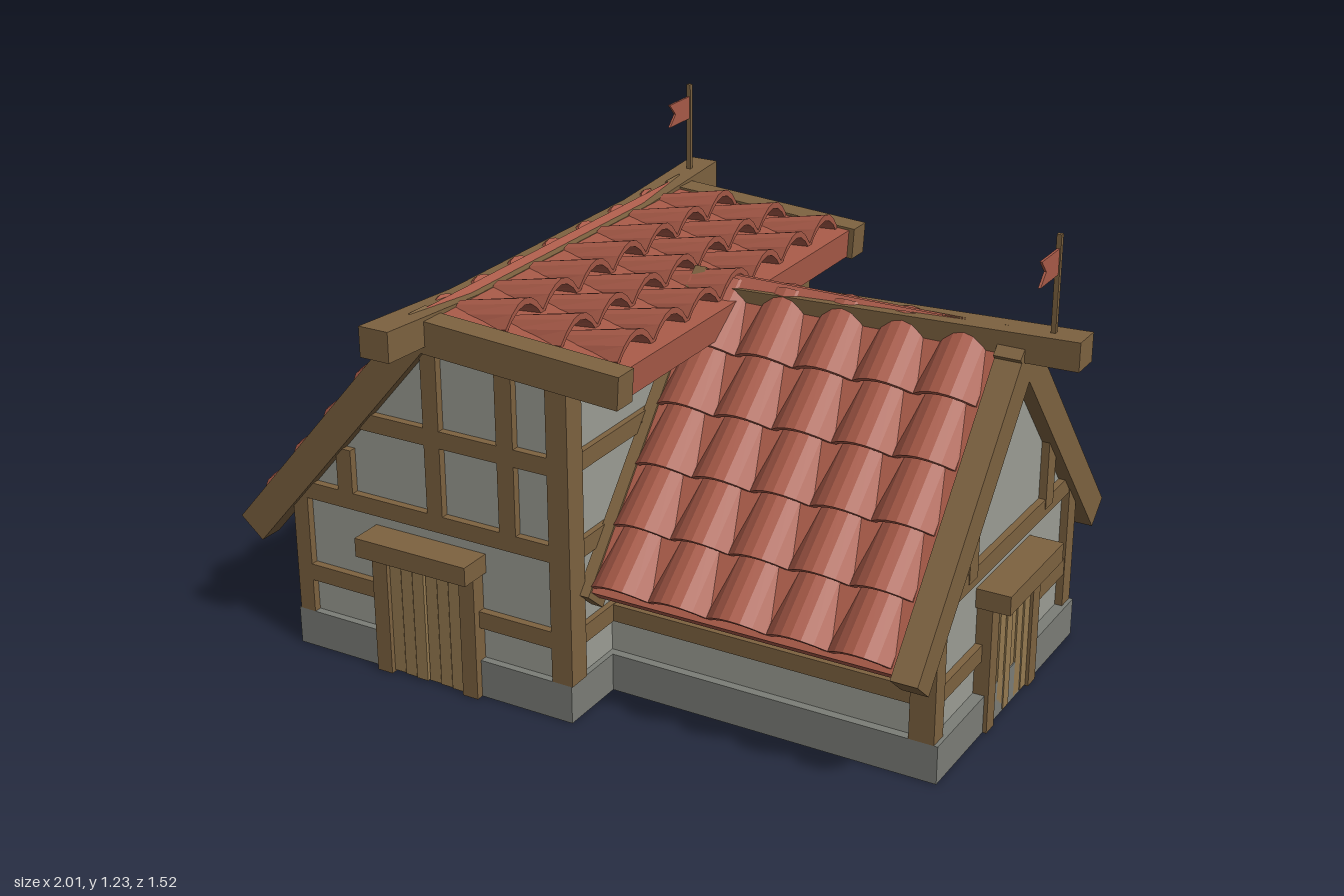
import * as THREE from 'three';

const paint = (color) => new THREE.MeshStandardMaterial({ color, flatShading: true });
const WOOD = paint(0x7d6240), PLANK = paint(0x967a50), TILE = paint(0xa85a48);
const PLASTER = paint(0x9b9d94), STONE = paint(0x7b7d77);

const RIDGE = 0.985;          // height of both ridges
const STEEP = 0.86;           // pitch of the main slopes
const HALF_X = -0.43;         // ridge position of the cross wing

function add(parent, name, geometry, material) {
  const mesh = new THREE.Mesh(geometry, material);
  mesh.name = name;
  parent.add(mesh);
  return mesh;
}

// Box given by its limits on each axis
function bar(parent, name, material, x0, x1, y0, y1, z0, z1) {
  const mesh = add(parent, name, new THREE.BoxGeometry(x1 - x0, y1 - y0, z1 - z0), material);
  mesh.position.set((x0 + x1) / 2, (y0 + y1) / 2, (z0 + z1) / 2);
  return mesh;
}

// Outline extruded along z, or along x when the outline is given as (z, y)
function prism(parent, name, material, points, from, to, alongX = false) {
  const shape = new THREE.Shape(points.map(([a, b]) => new THREE.Vector2(a, b)));
  const geometry = new THREE.ExtrudeGeometry(shape, { depth: to - from, bevelEnabled: false });
  geometry.translate(0, 0, alongX ? -to : from);
  if (alongX) geometry.rotateY(-Math.PI / 2);
  return add(parent, name, geometry, material);
}

// Arched tile running down +z: narrow and low at the top, wide and lifted at the bottom
function tileGeometry(width, height, length, taper, sink) {
  const outer = [], inner = [], thick = 0.017, n = 6;
  for (let i = 0; i <= n; i++) {
    const t = (i / n) * 2 - 1;
    const y = height * (1 - t * t);
    outer.push(new THREE.Vector2(t * width / 2, y));
    inner.unshift(new THREE.Vector2(t * width / 2, y - thick));
  }
  const geometry = new THREE.ExtrudeGeometry(new THREE.Shape([...inner, ...outer]),
    { depth: length, bevelEnabled: false });
  const p = geometry.attributes.position;
  for (let i = 0; i < p.count; i++) {
    const k = p.getZ(i) / length;
    p.setX(i, p.getX(i) * (taper + (1 - taper) * k));
    p.setY(i, p.getY(i) - sink * (1 - k));
  }
  geometry.computeVertexNormals();
  return geometry;
}

// One roof slope. Local axes: x along the ridge, y out of the roof, z down the slope
function slope(parent, name, o) {
  const roof = new THREE.Group();
  roof.name = name;
  roof.position.set(...o.at);
  roof.rotation.set(o.pitch, o.yaw, 0, 'YXZ');
  const f = o.flip ? -1 : 1;
  const span = (label, mat, [a, b], y0, y1, z0, z1) =>
    bar(roof, label, mat, Math.min(a * f, b * f), Math.max(a * f, b * f), y0, y1, z0, z1);
  span('roofBoard', TILE, o.board, -o.thick, -0.006, 0, o.length - 0.015);
  for (const b of o.beams) span('gableBeam', WOOD, b, -0.083, 0, 0, o.length);
  const geometry = tileGeometry(0.157, o.arch, o.pitchStep * 1.2, o.taper, o.sink);
  for (let r = 0; r < o.rows; r++) {
    for (let c = 0; c < o.columns; c++) {
      const tile = add(roof, 'roofTile', geometry, TILE);
      const end = o.lastEnd - (o.rows - 1 - r) * o.pitchStep;
      tile.position.set(f * (o.firstColumn + c * 0.157), 0, end - o.pitchStep * 1.2);
    }
  }
  parent.add(roof);
}

// Door facing +z with its sill at the origin
function door(parent, name, x, z, yaw) {
  const g = new THREE.Group();
  g.name = name;
  g.position.set(x, 0, z);
  g.rotation.y = yaw;
  for (const s of [-1, 1]) bar(g, 'doorPost', WOOD, s * 0.13 - 0.022, s * 0.13 + 0.022, 0, 0.34, -0.05, 0.02);
  for (let i = 0; i < 6; i++) {
    const px = -0.108 + i * 0.036;
    bar(g, 'doorPlank', PLANK, px, px + 0.033, 0.005, 0.335, -0.04, 0.007 + (i % 3) * 0.003);
  }
  bar(g, 'doorLintel', WOOD, -0.163, 0.163, 0.335, 0.385, -0.05, 0.068);
  parent.add(g);
}

// Pole with a swallow-tailed pennant flying towards +z
function flag(parent, x, z) {
  bar(parent, 'flagPole', WOOD, x - 0.006, x + 0.006, 0.94, 1.225, z - 0.006, z + 0.006);
  prism(parent, 'flag', TILE, [[z, 1.13], [z + 0.11, 1.13], [z + 0.08, 1.16], [z + 0.11, 1.192], [z, 1.192]],
    x - 0.003, x + 0.003, true);
}

export function createModel() {
  const house = new THREE.Group();
  house.name = 'house';

  // Stone base
  bar(house, 'crossWingBase', STONE, -0.84, -0.015, 0, 0.1, -0.605, 0.605);
  bar(house, 'mainWingBase', STONE, -0.1, 0.86, 0, 0.1, -0.418, 0.418);

  // Plaster walls
  prism(house, 'crossWingWalls', PLASTER,
    [[-0.815, 0.05], [-0.03, 0.05], [-0.03, 0.885], [HALF_X, 0.91], [-0.815, 0.465]], -0.585, 0.585);
  prism(house, 'mainWingWalls', PLASTER,
    [[-0.395, 0.05], [0.395, 0.05], [0.395, 0.45], [0, 0.9], [-0.395, 0.45]], -0.05, 0.83, true);

  // Timber frame, same on both long sides
  for (const s of [-1, 1]) {
    const onSide = (name, x0, x1, y0, y1, depth = 0.035, face = 0.605) =>
      bar(house, name, WOOD, x0, x1, y0, y1, Math.min(s * face, s * (face - depth)), Math.max(s * face, s * (face - depth)));
    onSide('cornerPost', -0.835, -0.79, 0.1, 0.45, 0.06);
    onSide('cornerPost', -0.07, -0.012, 0.1, 0.9, 0.065);
    onSide('rail', -0.8, -0.06, 0.19, 0.235);
    onSide('rail', -0.79, -0.06, 0.42, 0.465);
    onSide('rail', -0.61, -0.06, 0.645, 0.69);
    onSide('stud', -0.69, -0.645, 0.46, 0.58);
    onSide('stud', -0.42, -0.375, 0.46, 0.9);
    onSide('stud', -0.21, -0.163, 0.46, 0.9);
    onSide('mainWingPost', 0.785, 0.85, 0.1, 0.45, 0.05, 0.418);
    onSide('mainWingRail', -0.03, 0.8, 0.19, 0.235, 0.035, 0.413);
    // Studs facing the ends
    bar(house, 'crossWingStud', WOOD, -0.06, -0.012, 0.44, 0.67, s * 0.25 - 0.024, s * 0.25 + 0.024);
    bar(house, 'gableStud', WOOD, 0.8, 0.85, 0.44, 0.62, s * 0.23 - 0.024, s * 0.23 + 0.024);
  }
  for (const y of [0.19, 0.42, 0.645]) bar(house, 'crossWingRail', WOOD, -0.06, -0.014, y, y + 0.047, -0.58, 0.58);
  bar(house, 'westRail', WOOD, -0.833, -0.8, 0.19, 0.235, -0.58, 0.58);
  bar(house, 'gableRail', WOOD, 0.8, 0.848, 0.19, 0.235, -0.4, 0.4);
  bar(house, 'gableRail', WOOD, 0.8, 0.848, 0.42, 0.467, -0.38, 0.38);

  // Doors on both ends of the cross wing and under the main gable
  door(house, 'frontDoor', HALF_X, 0.605, 0);
  door(house, 'backDoor', HALF_X, -0.605, Math.PI);
  door(house, 'gableDoor', 0.85, 0, Math.PI / 2);

  // Roof slopes
  const steep = { pitch: STEEP, length: 0.865, thick: 0.05, rows: 5, pitchStep: 0.158, lastEnd: 0.838, arch: 0.046, sink: 0.035 };
  for (const flip of [false, true]) {
    slope(house, 'mainRoof', {
      ...steep, at: [0, RIDGE, 0], yaw: flip ? Math.PI : 0, flip,
      board: [-0.02, 0.82], beams: [[-0.02, 0.012], [0.8, 0.868]],
      columns: 5, firstColumn: 0.087, taper: 0.95,
    });
  }
  const wingBeams = [[-0.622, -0.556], [0.556, 0.622]];
  const wing = { board: [-0.56, 0.56], beams: wingBeams, columns: 7, firstColumn: -0.471 };
  slope(house, 'westRoof', { ...steep, ...wing, at: [HALF_X, RIDGE, 0], yaw: -Math.PI / 2, taper: 0.86 });
  slope(house, 'eastRoof', {
    ...wing, at: [HALF_X, 0.975, 0], yaw: Math.PI / 2, pitch: 0.061, length: 0.572, thick: 0.08,
    rows: 3, pitchStep: 0.152, lastEnd: 0.525, arch: 0.054, sink: 0.05, taper: 0.7,
  });

  // Ridge beams, slightly sagging
  prism(house, 'mainRidgeBeam', WOOD, [[0.09, 0.9], [1, 0.92], [1, 0.992], [0.09, 0.958]], -0.04, 0.04);
  prism(house, 'crossRidgeBeam', WOOD,
    [[-0.76, 0.915], [-0.4, 0.9], [0.4, 0.9], [0.76, 0.915], [0.76, 0.992], [0.4, 0.968], [-0.4, 0.968], [-0.76, 0.992]],
    HALF_X - 0.041, HALF_X + 0.041, true);

  flag(house, 0.92, 0);
  flag(house, HALF_X, -0.68);
  return house;
}
